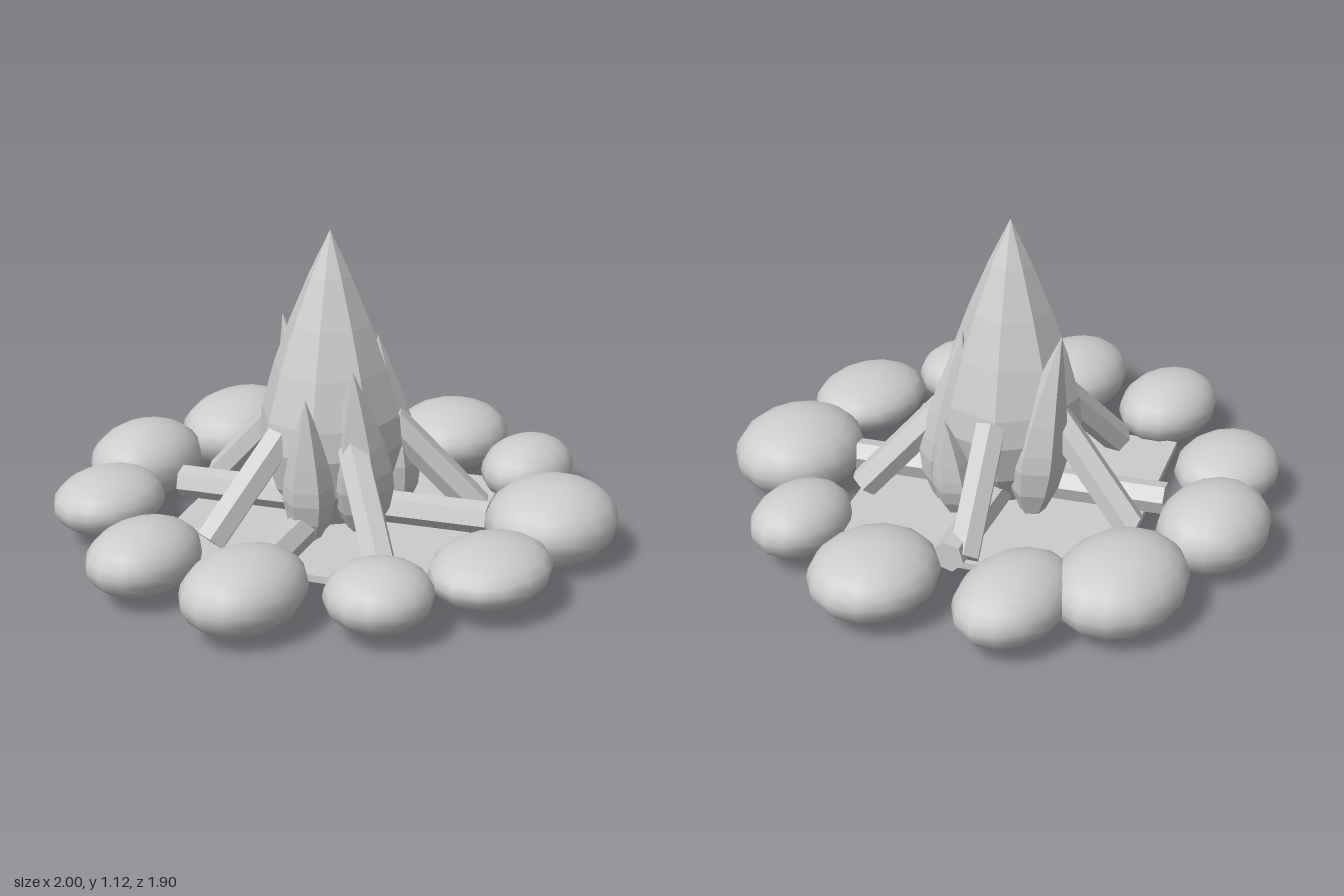
import * as THREE from 'three';

export function createModel() {
  const group = new THREE.Group();
  const grey = new THREE.MeshStandardMaterial({ color: 0xcccccc });
  grey.name = 'stone grey';
  const facetedGrey = grey;

  const add = (geometry, name, flat = true) => {
    const mesh = new THREE.Mesh(flat ? facet(geometry) : geometry, facetedGrey);
    mesh.name = name;
    group.add(mesh);
    return mesh;
  };

  // Separate the faces so that low-poly parts keep flat facets
  function facet(geometry) {
    const g = geometry.index ? geometry.toNonIndexed() : geometry;
    g.computeVertexNormals();
    return g;
  }

  // Ground plate, turned a little
  const plate = add(new THREE.BoxGeometry(1, 0.025, 1), 'groundPlate');
  plate.position.y = 0.08;
  plate.rotation.y = 0.3;

  // Ring of smooth stones: x, z, then the three radii
  const stones = [
    [-0.48, -0.62, 0.215, 0.11, 0.18],
    [-0.115, -0.77, 0.23, 0.14, 0.185],
    [0.355, -0.69, 0.265, 0.143, 0.21],
    [0.62, -0.455, 0.245, 0.125, 0.175],
    [0.765, 0, 0.235, 0.125, 0.21],
    [0.645, 0.41, 0.2, 0.115, 0.155],
    [0.285, 0.72, 0.25, 0.145, 0.222],
    [-0.175, 0.76, 0.235, 0.102, 0.19],
    [-0.54, 0.575, 0.185, 0.11, 0.175],
    [-0.76, 0.21, 0.24, 0.13, 0.185],
    [-0.76, -0.21, 0.22, 0.12, 0.17],
  ];
  stones.forEach(([x, z, rx, ry, rz]) => {
    const stone = add(new THREE.SphereGeometry(1, 14, 12), 'stone', false);
    stone.scale.set(rx, ry, rz);
    stone.position.set(x, 0.155, z);
  });

  // Six-sided log between two points
  const up = new THREE.Vector3(0, 1, 0);
  const addLog = (from, to, name) => {
    const axis = to.clone().sub(from);
    const log = add(new THREE.CylinderGeometry(0.057, 0.057, axis.length(), 6), name);
    log.position.copy(from).lerp(to, 0.5);
    log.quaternion.setFromUnitVectors(up, axis.normalize());
  };
  const polar = (degrees, r, y) => {
    const a = THREE.MathUtils.degToRad(degrees);
    return new THREE.Vector3(Math.cos(a) * r, y, Math.sin(a) * r);
  };

  // Five leaning logs and two crossed logs on the plate
  for (let i = 0; i < 5; i++) {
    const angle = -90 + i * 72;
    addLog(polar(angle, 0.51, 0.12), polar(angle, 0.2, 0.45), 'leaningLog');
  }
  for (const angle of [-14, 71]) {
    addLog(polar(angle + 180, 0.57, 0.145), polar(angle, 0.56, 0.145), 'lyingLog');
  }

  // Faceted flame with a tip that drifts away from its base
  const profile = [
    [0, 0], [0.45, 0.01], [0.84, 0.14], [1, 0.28], [0.96, 0.38],
    [0.78, 0.54], [0.56, 0.69], [0.29, 0.85], [0, 1],
  ].map(([r, y]) => new THREE.Vector2(r, y));
  const addFlame = (name, sides, base, radius, bottom, tip) => {
    const g = new THREE.LatheGeometry(profile, sides, Math.PI / sides);
    const p = g.attributes.position;
    for (let i = 0; i < p.count; i++) {
      const t = p.getY(i);
      const drift = Math.pow(t, 1.5);
      p.setXYZ(
        i,
        base[0] + p.getX(i) * radius + (tip[0] - base[0]) * drift,
        bottom + t * (tip[1] - bottom),
        base[1] + p.getZ(i) * radius + (tip[2] - base[1]) * drift
      );
    }
    add(g, name);
  };
  addFlame('mainFlame', 8, [-0.015, 0], 0.255, 0.09, [-0.015, 1.13, 0]);
  const smallFlames = [
    [[-0.06, 0.17], 0.115, [-0.155, 0.705, 0.195]],
    [[0.17, 0.15], 0.1, [0.125, 0.745, 0.1]],
    [[0.23, 0.06], 0.075, [0.285, 0.48, 0.065]],
    [[-0.23, 0.07], 0.09, [-0.29, 0.625, 0.1]],
    [[0.08, -0.16], 0.1, [0.03, 0.78, -0.24]],
  ];
  smallFlames.forEach(([base, radius, tip]) => addFlame('smallFlame', 6, base, radius, 0.1, tip));

  return group;
}
